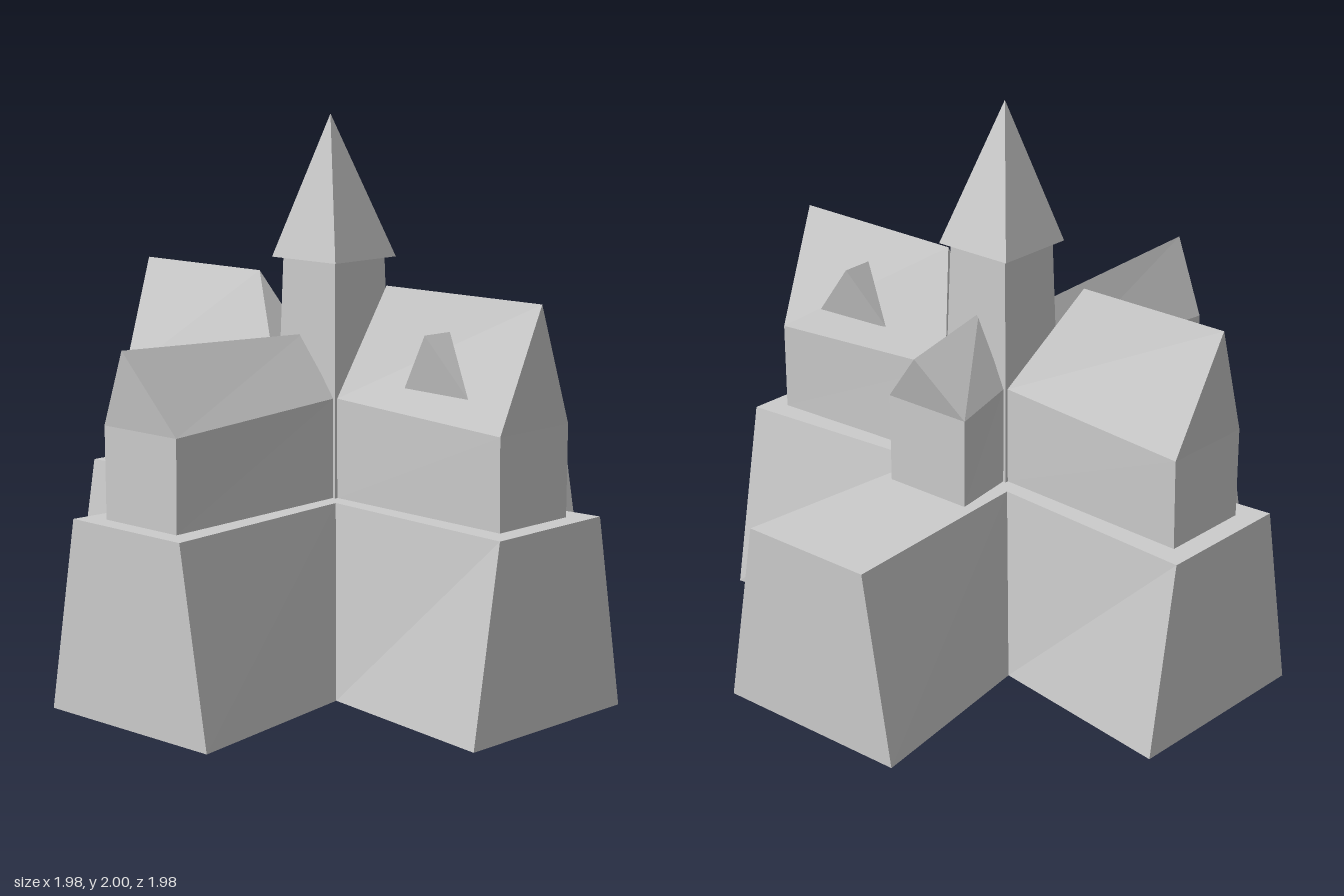
import * as THREE from 'three';

const material = new THREE.MeshStandardMaterial({ color: 0xcccccc, flatShading: true, side: THREE.DoubleSide });

// Flat-shaded mesh from convex polygons, corners counter-clockwise from outside
function polyMesh(name, polygons) {
  const pos = [];
  for (const p of polygons)
    for (let i = 1; i < p.length - 1; i++) pos.push(...p[0], ...p[i], ...p[i + 1]);
  const geo = new THREE.BufferGeometry();
  geo.setAttribute('position', new THREE.Float32BufferAttribute(pos, 3));
  geo.computeVertexNormals();
  return part(name, geo);
}

function part(name, geo) {
  const mesh = new THREE.Mesh(geo, material);
  mesh.name = name;
  return mesh;
}

const BASE = 0.68;

// One arm of the cross-shaped plinth, pointing to +z, open underneath
function plinthArm(name) {
  const end = 0.99, b = 0.38, t = 0.26, bi = 0.26, ti = 0.2;
  return polyMesh(name, [
    [[-b, 0, end], [b, 0, end], [t, BASE, end], [-t, BASE, end]],
    [[b, 0, end], [bi, 0, bi], [ti, BASE, ti], [t, BASE, end]],
    [[-bi, 0, bi], [-b, 0, end], [-t, BASE, end], [-ti, BASE, ti]],
    [[-t, BASE, end], [t, BASE, end], [ti, BASE, ti], [0, BASE, 0], [-ti, BASE, ti]],
  ]);
}

// Gabled wing pointing to +z: leaning gable outside, hip towards the tower
function wing(name, { wall, foot = wall, ridgeOut, ridgeIn, w = 0.175, shift = 0 }) {
  const inner = 0.145, wi = 0.135, eave = 1.0, eaveIn = 1.03;
  const [bL, bR] = [-1, 1].map(s => [s * w * 0.98, BASE, foot]);
  const [eL, eR] = [-1, 1].map(s => [s * w, eave, wall]);
  const [cL, cR] = [-1, 1].map(s => [s * wi, BASE, inner]);
  const [fL, fR] = [-1, 1].map(s => [s * wi, eaveIn, inner]);
  const rO = [shift, ridgeOut[1], ridgeOut[0]];
  const rI = [shift, ridgeIn[1], ridgeIn[0]];
  return polyMesh(name, [
    [bL, bR, eR, eL], [eL, eR, rO],
    [bR, cR, fR, eR], [cL, bL, eL, fL],
    [eR, fR, rI, rO], [fL, eL, rO, rI],
    [cR, cL, fL, fR], [fR, fL, rI],
  ]);
}

// Small pointed dormer on the front roof, s = side
function dormer(name, s) {
  const back = [s * 0.12, 1.1, 0.445], front = [s * 0.145, 1.1, 0.75];
  const peak = [s * 0.177, 1.3, 0.585], root = [s * 0.056, 1.3, 0.59];
  const faces = [[front, back, peak], [front, peak, root], [back, root, peak]];
  return polyMesh(name, s > 0 ? faces : faces.map(f => f.slice().reverse()));
}

export function createModel() {
  const model = new THREE.Group();
  model.name = 'church';
  const sides = { front: 0, right: -Math.PI / 2, back: Math.PI, left: Math.PI / 2 };

  for (const [side, angle] of Object.entries(sides)) {
    const arm = plinthArm(side + 'Plinth');
    arm.rotation.y = angle;
    model.add(arm);
  }

  // Four wings; the one on +x is short
  const wings = {
    front: { wall: 0.915, ridgeOut: [0.94, 1.42], ridgeIn: [0.25, 1.42] },
    back: { wall: 0.91, ridgeOut: [0.96, 1.42], ridgeIn: [0.37, 1.42] },
    right: { wall: 0.92, ridgeOut: [0.96, 1.27], ridgeIn: [0.12, 1.235], shift: -0.04 },
    left: { wall: 0.39, ridgeOut: [0.45, 1.2], ridgeIn: [0.12, 1.27] },
  };
  for (const [side, spec] of Object.entries(wings)) {
    const house = wing(side + 'Wing', spec);
    house.rotation.y = sides[side];
    model.add(house);
  }

  model.add(dormer('leftDormer', 1), dormer('rightDormer', -1));

  // Square tower, slightly tapered
  const r2 = Math.SQRT2;
  const towerGeo = new THREE.CylinderGeometry(0.125 * r2, 0.147 * r2, 1.5 - BASE, 4, 1, true);
  towerGeo.rotateY(Math.PI / 4).translate(0, (1.5 + BASE) / 2, 0);
  model.add(part('tower', towerGeo));

  // Overhanging spire with an apex a little off centre
  const spireGeo = new THREE.ConeGeometry(0.153 * r2, 0.5, 4);
  spireGeo.rotateY(Math.PI / 4).translate(0, 1.75, 0);
  const p = spireGeo.attributes.position;
  for (let i = 0; i < p.count; i++) {
    const k = (p.getY(i) - 1.5) / 0.5;
    p.setX(i, p.getX(i) - 0.03 * k);
    p.setZ(i, p.getZ(i) + 0.012 * k);
  }
  spireGeo.computeVertexNormals();
  model.add(part('spire', spireGeo));

  return model;
}
